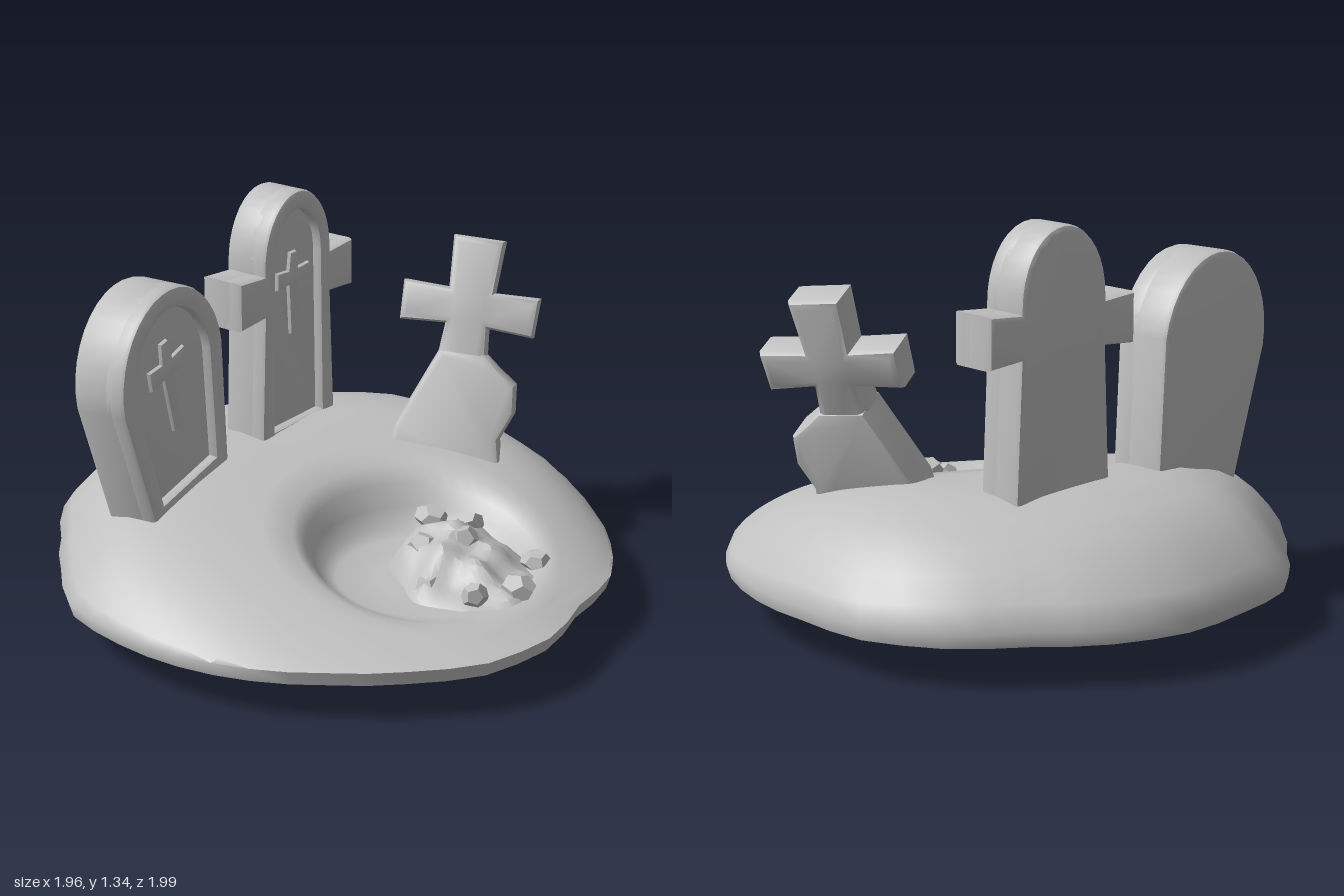
import * as THREE from 'three';
import { toCreasedNormals } from 'three/addons/utils/BufferGeometryUtils.js';

const stone = new THREE.MeshStandardMaterial({ color: 0xc0c0c0 });
stone.name = 'grey stone';

const lerp = THREE.MathUtils.lerp;
const smooth = THREE.MathUtils.smoothstep;

function part(name, geometry, parent, crease = 0.7) {
  const mesh = new THREE.Mesh(toCreasedNormals(geometry, crease), stone);
  mesh.name = name;
  parent.add(mesh);
  return mesh;
}

// One closed ring of n points
const ring = (n, f) => Array.from({ length: n }, (_, j) => f(j / n * Math.PI * 2));

// Skin over a list of closed rings with equal point counts
function skin(rings) {
  const n = rings[0].length;
  const index = [];
  for (let i = 0; i < rings.length - 1; i++) {
    for (let j = 0; j < n; j++) {
      const a = i * n + j, b = i * n + (j + 1) % n, c = a + n, d = b + n;
      index.push(a, b, c, b, d, c);
    }
  }
  const g = new THREE.BufferGeometry();
  g.setAttribute('position', new THREE.Float32BufferAttribute(rings.flat(2), 3));
  g.setIndex(index);
  return g;
}

// Island outline: radius every 15 degrees, from +x towards +z
const OUTLINE = [0.98, 0.95, 0.95, 0.96, 0.93, 0.98, 0.99, 0.95, 0.93, 0.94, 0.95, 0.96,
  0.98, 0.94, 0.94, 1.0, 0.99, 1.01, 1.0, 0.975, 1.01, 1.02, 0.98, 0.98];
function rimRadius(angle) {
  const k = ((angle / (Math.PI * 2) + 1) % 1) * 24;
  const i = Math.floor(k);
  return lerp(OUTLINE[i % 24], OUTLINE[(i + 1) % 24], k - i);
}

const PIT = { x: 0.1, z: 0.43 };

// Ground height: a slope that rises to the back, rounds off at the rim, and has a pit
function ground(x, z) {
  const d = Math.min(1, Math.hypot(x, z) / rimRadius(Math.atan2(z, x)));
  const slope = lerp(0.5, 0.23, THREE.MathUtils.clamp((z + 0.3) / 1.3, 0, 1));
  const mound = 0.19 + (slope - 0.19) * (1 - d ** 5.5);
  const r = Math.hypot(x - PIT.x, z - PIT.z);
  return lerp(Math.min(0.22, mound), mound, smooth(r, 0.3, 0.43));
}

function island() {
  const N = 48;
  const rim = (a, s, y) => [Math.cos(a) * rimRadius(a) * s, y, Math.sin(a) * rimRadius(a) * s];
  const rings = [];
  // pit floor and wall
  for (const r of [0, 0.15, 0.29, 0.33, 0.36, 0.39, 0.43]) {
    rings.push(ring(N, (a) => {
      const x = PIT.x + Math.cos(a) * r, z = PIT.z + Math.sin(a) * r;
      return [x, ground(x, z), z];
    }));
  }
  // upper surface from the pit to the rim
  for (const t of [0.12, 0.25, 0.4, 0.55, 0.7, 0.8, 0.88, 0.95, 1]) {
    rings.push(ring(N, (a) => {
      const p = rim(a, 1, 0);
      const x = lerp(PIT.x + Math.cos(a) * 0.43, p[0], t);
      const z = lerp(PIT.z + Math.sin(a) * 0.43, p[2], t);
      return [x, ground(x, z), z];
    }));
  }
  // flat underside with the pit bulging out below
  rings.push(ring(N, (a) => rim(a, 0.985, 0.14)));
  rings.push(ring(N, (a) => [-0.07 + Math.cos(a) * 0.42, 0.135, 0.3 + Math.sin(a) * 0.45]));
  rings.push(ring(N, (a) => [-0.14 + Math.cos(a) * 0.22, 0.06, 0.26 + Math.sin(a) * 0.25]));
  rings.push(ring(N, () => [-0.2, 0, 0.2]));
  return skin(rings);
}

// Lumpy heap of loose earth, high at the back and low at the front
function earthHeap() {
  const rings = [];
  for (const r of [0, 0.12, 0.25, 0.38, 0.5, 0.62, 0.74, 0.85, 0.94, 1]) {
    rings.push(ring(32, (a) => {
      const reach = r * (1 + 0.08 * Math.sin(a * 5));
      const x = 0.22 + Math.cos(a) * 0.26 * reach;
      const z = 0.52 + Math.sin(a) * 0.3 * reach;
      const height = lerp(0.21, 0.07, smooth(z, 0.25, 0.85)) - Math.abs(x - 0.2) * 0.25;
      const lumps = 0.025 * Math.sin(x * 32 + z * 8) * Math.sin(z * 30 - x * 7);
      return [x, 0.19 + (height + lumps) * (1 - r ** 4), z];
    }));
  }
  return skin(rings);
}

// Round-topped outline: half widths at bottom and shoulder, with optional side arms
function arch(y0, w0, w1, shoulder, rise, arm) {
  const s = new THREE.Shape();
  s.moveTo(w0, y0);
  if (arm) {
    s.lineTo(w1, arm.y0).lineTo(arm.w, arm.y0 - 0.01);
    s.lineTo(arm.w, arm.y1 + 0.01).lineTo(w1, arm.y1);
  }
  s.lineTo(w1, shoulder);
  s.absellipse(0, shoulder, w1, rise, 0, Math.PI, false);
  if (arm) {
    s.lineTo(-w1, arm.y1).lineTo(-arm.w, arm.y1 + 0.01);
    s.lineTo(-arm.w, arm.y0 - 0.01).lineTo(-w1, arm.y0);
  }
  s.lineTo(-w0, y0);
  return s;
}

const polygon = (points) => new THREE.Shape(points.map(([x, y]) => new THREE.Vector2(x, y)));

// Symmetrical outline from its right-hand half
const mirrored = (points) => polygon([...points, ...points.map(([x, y]) => [-x, y]).reverse()]);

// Bevelled plate between two depths
function plate(shape, z0, z1, bevel) {
  const g = new THREE.ExtrudeGeometry(shape, {
    depth: z1 - z0 - bevel * 2, bevelThickness: bevel, bevelSize: bevel,
    bevelOffset: -bevel, bevelSegments: 2, curveSegments: 9,
  });
  return g.translate(0, 0, z0 + bevel);
}

function place(name, parent, pos, yaw, lean, roll) {
  const g = new THREE.Group();
  g.name = name;
  g.position.set(...pos);
  g.rotation.set(lean, yaw, roll, 'YXZ');
  parent.add(g);
  return g;
}

// Headstone with a raised border and a tapered cross inside the sunken face
function headstone(group, outline, hole, thick, crossY, c) {
  const f = thick / 2;
  part('slab', plate(outline, -f, f - 0.035, 0.018), group);
  const frame = outline.clone();
  frame.holes.push(hole);
  part('border', plate(frame, f - 0.085, f, 0.016), group);
  const cross = mirrored([[0.2 * c, -2.3 * c], [0.3 * c, -0.3 * c], [c, -0.35 * c],
    [c, 0.35 * c], [0.3 * c, 0.3 * c], [0.2 * c, c]]);
  part('reliefCross', plate(cross, f - 0.055, f - 0.02, 0.012).translate(0, crossY, 0), group);
}

export function createModel() {
  const model = new THREE.Group();
  model.name = 'graveyardIsland';
  part('island', island(), model, 1.2);
  part('earthHeap', earthHeap(), model, 0.6);

  // Round-topped headstone
  const round = place('roundHeadstone', model, [-0.515, 0.38, -0.2], 0.52, 0, 0.19);
  headstone(round, arch(0, 0.21, 0.28, 0.5, 0.31), arch(0.1, 0.155, 0.205, 0.5, 0.24),
    0.2, 0.53, 0.1);

  // Tall headstone with side arms
  const tall = place('armedHeadstone', model, [0.02, 0.4, -0.425], 0.43, 0, 0);
  headstone(tall, arch(0, 0.21, 0.185, 0.7, 0.24, { y0: 0.53, y1: 0.68, w: 0.315 }),
    arch(0.1, 0.135, 0.125, 0.7, 0.17), 0.17, 0.63, 0.09);

  // Leaning cross on a broad, lopsided foot
  const cross = place('leaningCross', model, [0.48, 0.35, -0.05], -0.65, -0.32, -0.1);
  const crossOutline = mirrored([[0.085, 0.2], [0.085, 0.39], [0.075, 0.5],
    [0.235, 0.49], [0.24, 0.63], [0.08, 0.625], [0.09, 0.81]]);
  part('cross', plate(crossOutline, -0.07, 0.07, 0.025), cross);
  const foot = polygon([[0.2, -0.02], [0.17, 0.12], [0.21, 0.22], [0.2, 0.32], [0.13, 0.37],
    [0.08, 0.41], [-0.08, 0.41], [-0.2, 0.12], [-0.21, -0.02]]);
  part('crossFoot', plate(foot, -0.08, 0.08, 0.025), cross);

  // Angular clods half sunk into the heap: x, y, z, radius
  const clods = [
    [0.2, 0.365, 0.31, 0.055], [0.32, 0.33, 0.36, 0.05], [0.12, 0.31, 0.4, 0.05],
    [0.44, 0.26, 0.58, 0.05], [0.13, 0.26, 0.7, 0.045], [0.28, 0.26, 0.72, 0.055],
    [0.05, 0.24, 0.54, 0.05], [0.24, 0.33, 0.46, 0.05],
  ];
  clods.forEach(([x, y, z, r], i) => {
    const g = new THREE.DodecahedronGeometry(r).scale(1, 0.8, 1.15).rotateY(i).rotateX(i * 2);
    part('clod', g, model, 0.3).position.set(x, y, z);
  });
  return model;
}
